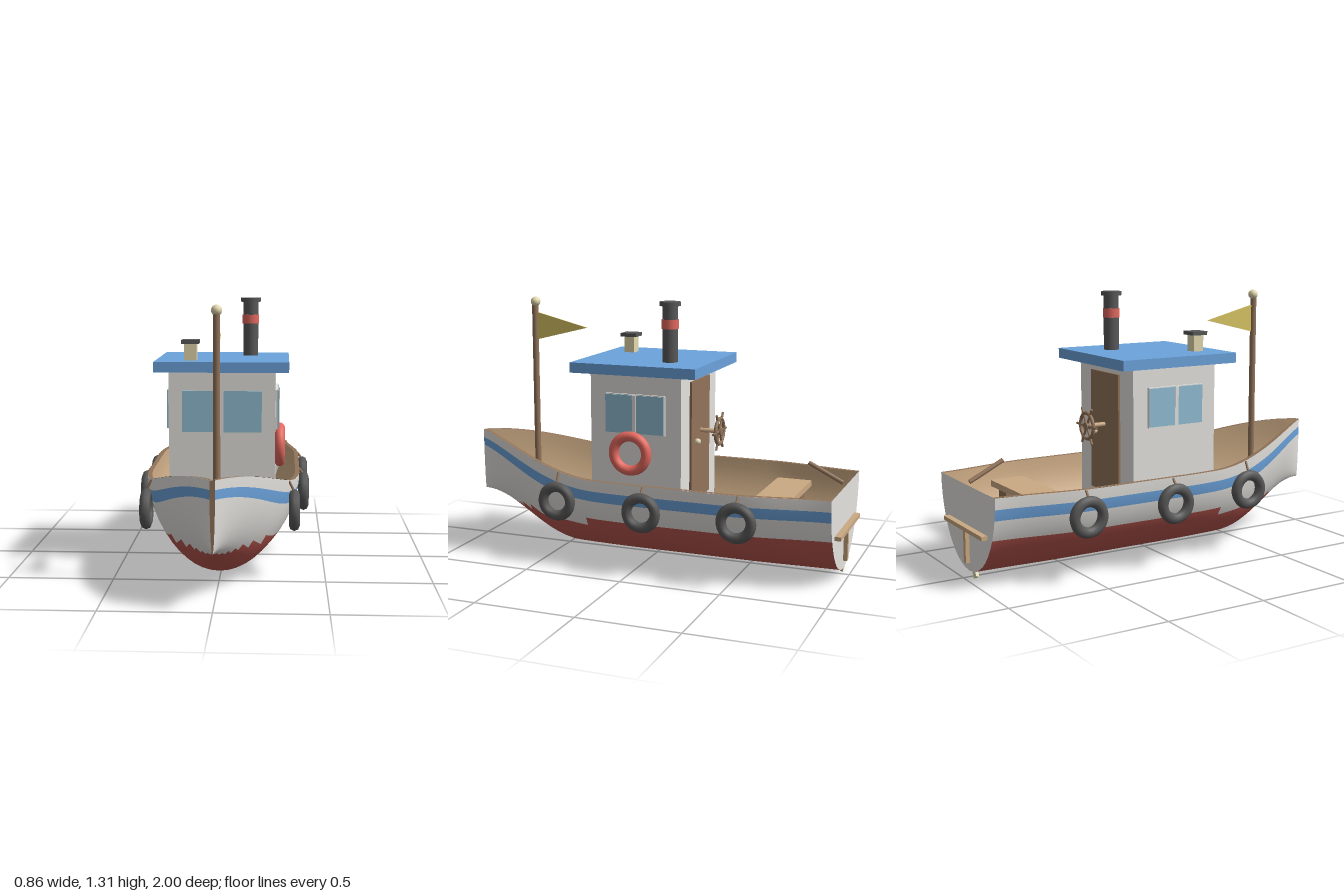
import * as THREE from 'three';

const mat = (name, color, side = THREE.FrontSide) => {
  const m = new THREE.MeshStandardMaterial({ color, side });
  m.name = name;
  return m;
};

export function createModel() {
  const white = mat('offWhite', 0xe5e3df, THREE.DoubleSide);
  const blue = mat('blue', 0x6ca3dc);
  const hullRed = mat('hullRed', 0xb8564e);
  const red = mat('brightRed', 0xe5695f);
  const dark = mat('charcoal', 0x585858);
  const wood = mat('darkWood', 0x92745a, THREE.DoubleSide);
  const tan = mat('lightWood', 0xcbaa84);
  const cream = mat('cream', 0xe4d9b0);
  const yellow = mat('flagYellow', 0xdcc765);
  const glass = mat('glass', 0x92bed4);

  const boat = new THREE.Group();
  boat.name = 'boat';
  const add = (name, geo, m, x = 0, y = 0, z = 0) => {
    const mesh = new THREE.Mesh(geo, m);
    mesh.name = name;
    mesh.position.set(x, y, z);
    boat.add(mesh);
    return mesh;
  };
  const box = (name, w, h, d, m, x, y, z) => add(name, new THREE.BoxGeometry(w, h, d), m, x, y, z);
  const cyl = (name, r, y0, y1, m, x, z, sides = 24) =>
    add(name, new THREE.CylinderGeometry(r, r, y1 - y0, sides), m, x, (y0 + y1) / 2, z);
  const rod = (name, a, b, r, m) => {
    const p = new THREE.Vector3(...a), q = new THREE.Vector3(...b);
    const mesh = add(name, new THREE.CylinderGeometry(r, r, p.distanceTo(q), 10), m);
    mesh.position.copy(p).lerp(q, 0.5);
    mesh.quaternion.setFromUnitVectors(new THREE.Vector3(0, 1, 0), q.sub(p).normalize());
    return mesh;
  };

  // Hull lines: half width, sheer height and keel height along z
  const STERN = -0.97, BOW = 1, ROWS = 12, STEPS = 56;
  const { smoothstep } = THREE.MathUtils;
  const halfWidth = z => z > 0
    ? 0.012 + 0.368 * (1 - Math.pow(z, 2.1))
    : 0.38 - 0.065 * smoothstep(-z, 0.5, 1);
  const sheer = z => 0.443 + 0.13 * smoothstep(z, 0.2, 1);
  const keel = z => 0.03 + 0.22 * smoothstep(z, 0.4, 1);
  const section = (z, inset = 0) => {
    const pts = [], w = Math.max(0.003, halfWidth(z) - inset);
    const top = sheer(z), low = keel(z) + inset;
    for (let j = -ROWS; j <= ROWS; j++) {
      const a = j / ROWS * Math.PI / 2;
      pts.push(new THREE.Vector3(w * Math.sin(a), top - (top - low) * Math.cos(a), z));
    }
    return pts;
  };

  // Surface through a list of cross-sections; pick() gives each quad its material
  const loft = (name, sections, mats, pick, flip) => {
    const n = sections[0].length, lists = mats.map(() => []);
    for (let i = 0; i < sections.length - 1; i++) {
      for (let j = 0; j < n - 1; j++) {
        const a = i * n + j, b = a + 1, c = a + n, d = c + 1;
        const y = (sections[i][j].y + sections[i][j + 1].y + sections[i + 1][j].y + sections[i + 1][j + 1].y) / 4;
        lists[pick(j, y)].push(...(flip ? [a, c, b, b, c, d] : [a, b, c, b, d, c]));
      }
    }
    const g = new THREE.BufferGeometry().setFromPoints(sections.flat());
    g.setIndex(lists.flat());
    let start = 0;
    lists.forEach((l, k) => { g.addGroup(start, l.length, k); start += l.length; });
    g.computeVertexNormals();
    return add(name, g, mats);
  };
  const stations = Array.from({ length: STEPS + 1 }, (_, i) => STERN + (BOW - STERN) * i / STEPS);

  // Painted outside, wooden lining and gunwale
  loft('hull', stations.map(z => section(z)), [white, blue, hullRed], (j, y) => {
    const row = j < ROWS ? ROWS - 1 - j : j - ROWS;
    if (row === 10) return 1;
    return row < 8 && y < 0.2155 ? 2 : 0;
  });
  loft('hullLining', stations.map(z => section(z, 0.018)), [tan], () => 0, true);
  for (const end of [0, 2 * ROWS]) {
    loft('gunwale', stations.map(z => {
      const o = section(z)[end], i = section(z, 0.022)[end];
      o.y += 0.001; i.y += 0.001;
      return [o, i];
    }), [wood], () => 0, end === 0);
  }
  const endPlate = (name, z, m) =>
    add(name, new THREE.ShapeGeometry(new THREE.Shape(section(z).map(p => new THREE.Vector2(p.x, p.y)))), m, 0, 0, z);
  endPlate('transom', STERN, white);
  endPlate('stem', BOW, wood);

  // Floor planks, shaped to the hull width at floor height
  for (let i = 0; i < 16; i++) {
    const z = -0.953 + i * 0.107;
    const f = (sheer(z) - 0.24) / (sheer(z) - keel(z));
    const w = halfWidth(z) * Math.sqrt(1 - f * f) - 0.053;
    box('floorPlank', 2 * w, 0.02, 0.094, i % 2 ? wood : tan, 0, 0.24, z);
  }

  // Stern bench, tiller, rudder post and propeller blade
  box('benchSeat', 0.47, 0.03, 0.175, tan, 0, 0.377, -0.657);
  for (const x of [-0.15, 0.15]) box('benchLeg', 0.08, 0.115, 0.13, wood, x, 0.306, -0.657);
  rod('tiller', [0, 0.455, -0.955], [0, 0.54, -0.785], 0.011, wood);
  box('rudderPost', 0.025, 0.16, 0.02, tan, 0, 0.15, -0.98);
  box('propellerBlade', 0.035, 0.06, 0.015, cream, -0.037, 0.033, -0.955).rotation.z = -0.5;

  // Wheelhouse
  box('cabin', 0.514, 0.72, 0.47, white, 0, 0.605, 0.015);
  box('roof', 0.645, 0.05, 0.645, blue, 0, 0.988, 0.01);
  box('frontWindow', 0.385, 0.2, 0.009, glass, 0, 0.768, 0.2545);
  box('frontMullion', 0.018, 0.2, 0.016, white, 0, 0.768, 0.257);
  for (const s of [-1, 1]) {
    box('sideWindowFrame', 0.012, 0.195, 0.31, white, s * 0.262, 0.768, 0.015);
    box('sideWindow', 0.009, 0.187, 0.302, glass, s * 0.27, 0.768, 0.015);
    box('sideMullion', 0.014, 0.19, 0.02, white, s * 0.271, 0.768, 0.015);
  }
  box('door', 0.27, 0.6, 0.012, wood, 0, 0.62, -0.225);
  add('doorKnob', new THREE.SphereGeometry(0.016, 16, 12), cream, 0.08, 0.617, -0.243);

  // Steering wheel behind the cabin
  const wheelY = 0.66, wheelZ = -0.33;
  rod('wheelAxle', [0, wheelY, -0.22], [0, wheelY, -0.335], 0.011, tan);
  add('wheelRim', new THREE.TorusGeometry(0.064, 0.009, 10, 32), wood, 0, wheelY, wheelZ);
  rod('wheelHub', [0, wheelY, wheelZ - 0.011], [0, wheelY, wheelZ + 0.011], 0.02, wood);
  for (let k = 0; k < 3; k++) {
    const a = k * Math.PI / 3, c = 0.1 * Math.cos(a), s = 0.1 * Math.sin(a);
    rod('wheelSpoke', [-c, wheelY - s, wheelZ], [c, wheelY + s, wheelZ], 0.006, wood);
  }

  // Funnel and roof vent
  cyl('funnel', 0.038, 1.01, 1.29, dark, 0.128, -0.115);
  cyl('funnelBand', 0.042, 1.175, 1.22, red, 0.128, -0.115);
  cyl('funnelCap', 0.051, 1.285, 1.305, dark, 0.128, -0.115);
  box('vent', 0.06, 0.085, 0.055, cream, -0.153, 1.053, 0.205);
  box('ventCap', 0.085, 0.018, 0.085, dark, -0.153, 1.103, 0.205);

  // Mast and pennant
  cyl('mast', 0.016, 0.22, 1.255, wood, 0, 0.68, 16);
  add('mastBall', new THREE.SphereGeometry(0.025, 20, 14), cream, 0, 1.27, 0.677);
  const pennant = new THREE.Shape([[0, -0.07], [0.28, 0], [0, 0.07]].map(p => new THREE.Vector2(...p)));
  const pennantGeo = new THREE.ExtrudeGeometry(pennant, { depth: 0.006, bevelEnabled: false });
  add('pennant', pennantGeo, yellow, -0.003, 1.145, 0.665).rotation.y = Math.PI / 2;

  // Lifebuoy on the left cabin wall
  add('lifebuoy', new THREE.TorusGeometry(0.085, 0.025, 16, 40), red, 0.28, 0.576, 0.035).rotation.y = Math.PI / 2;

  // Tyre fenders hung from the gunwale
  for (const s of [-1, 1]) {
    for (const [z, x] of [[0.4, 0.352], [-0.07, 0.403], [-0.545, 0.403]]) {
      add('fender', new THREE.TorusGeometry(0.073, 0.026, 8, 32), dark, s * x, 0.319, z).rotation.y = Math.PI / 2;
      rod('fenderRope', [s * x, 0.405, z], [s * (x - 0.026), sheer(z) - 0.004, z], 0.006, wood);
    }
  }
  return boat;
}
